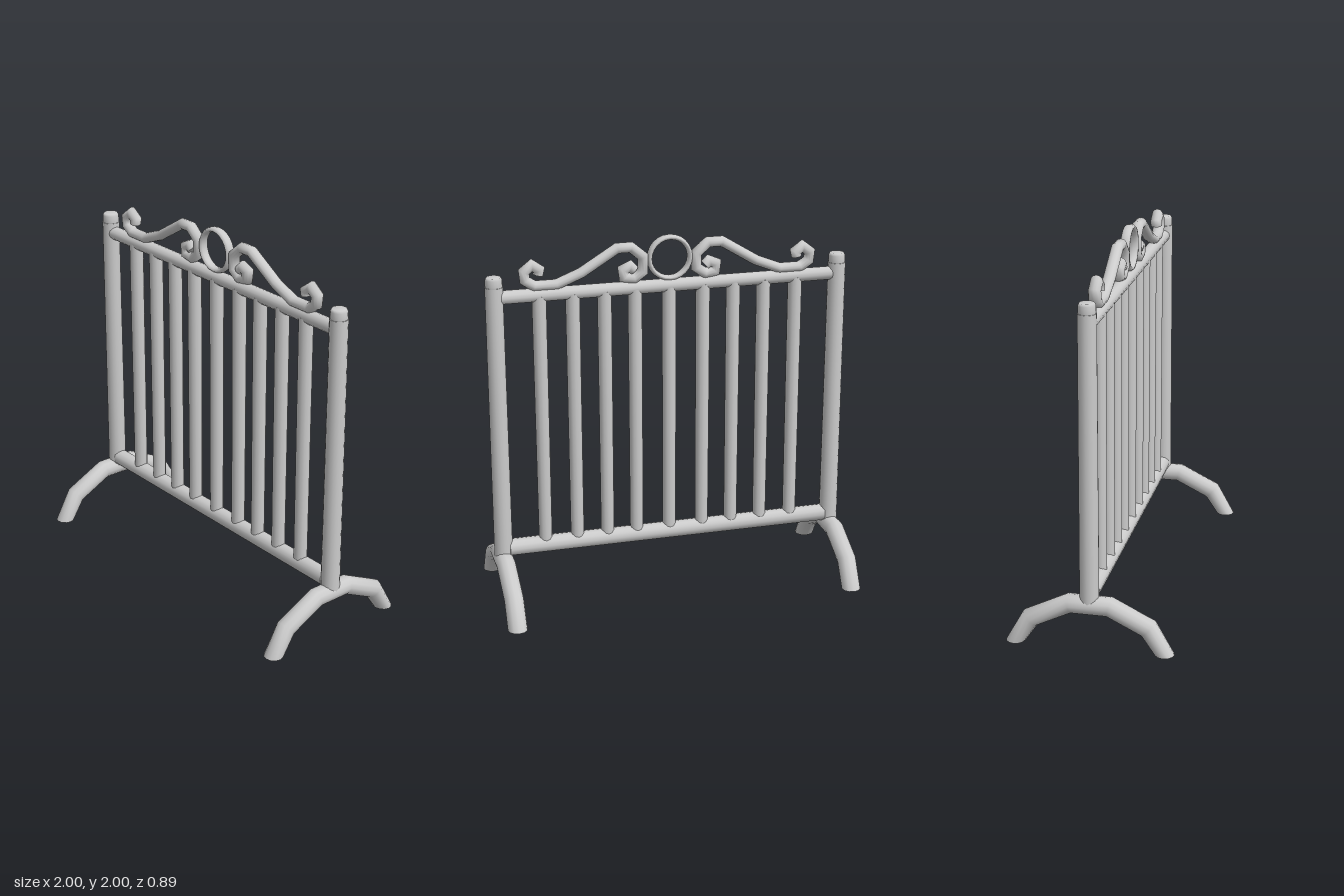
import * as THREE from 'three';

const material = new THREE.MeshStandardMaterial({ color: 0xcccccc });

function part(name, geometry, x = 0, y = 0, z = 0) {
  const mesh = new THREE.Mesh(geometry, material);
  mesh.name = name;
  mesh.position.set(x, y, z);
  return mesh;
}

// Round bar swept along a flat path of [x, y] points with mitred bends.
// levelEnds cuts both ends horizontally, for feet standing on the ground.
function bentBar(points, radius, depth, levelEnds = false, sides = 12) {
  const path = points.map(([x, y]) => new THREE.Vector2(x, y));
  const last = path.length - 1;
  const direction = (i) => path[i + 1].clone().sub(path[i]).normalize();
  const positions = [];
  const index = [];

  const addRing = (i) => {
    const before = direction(Math.max(i - 1, 0));
    const after = direction(Math.min(i, last - 1));
    const t = before.clone().add(after).normalize();
    const n = new THREE.Vector2(-t.y, t.x);
    if (levelEnds && (i === 0 || i === last)) n.set(Math.sign(n.x), 0);
    else n.multiplyScalar(1 / Math.max(t.dot(after), 0.6));
    for (let j = 0; j < sides; j++) {
      const a = (j / sides) * Math.PI * 2;
      const c = Math.cos(a) * radius;
      positions.push(path[i].x + n.x * c, path[i].y + n.y * c, Math.sin(a) * depth);
    }
  };

  for (let i = 0; i <= last; i++) addRing(i);
  for (let i = 0; i < last; i++) {
    for (let j = 0; j < sides; j++) {
      const a = i * sides + j;
      const b = i * sides + ((j + 1) % sides);
      index.push(a, b, a + sides, b, b + sides, a + sides);
    }
  }
  // end caps with their own vertices, so the rims stay sharp
  for (const i of [0, last]) {
    const start = positions.length / 3;
    addRing(i);
    for (let j = 1; j < sides - 1; j++) {
      if (i === 0) index.push(start, start + j + 1, start + j);
      else index.push(start, start + j, start + j + 1);
    }
  }

  const geometry = new THREE.BufferGeometry();
  geometry.setAttribute('position', new THREE.Float32BufferAttribute(positions, 3));
  geometry.setIndex(index);
  geometry.computeVertexNormals();
  return geometry;
}

export function createModel() {
  const group = new THREE.Group();
  const postX = 0.942;

  // posts with a collared cap, each standing on an arched foot
  const capProfile = [[0, -0.01], [0.043, -0.01], [0.046, 0.005], [0.045, 0.04], [0.038, 0.053], [0, 0.053]]
    .map(([r, y]) => new THREE.Vector2(r, y));
  const footPath = [[-0.393, 0], [-0.31, 0.137], [-0.105, 0.238], [0.105, 0.238], [0.31, 0.137], [0.393, 0]];
  for (const [side, s] of [['left', 1], ['right', -1]]) {
    group.add(part(side + 'Post', new THREE.CylinderGeometry(0.048, 0.051, 1.53, 16), s * postX, 1.018, 0));
    group.add(part(side + 'PostCap', new THREE.LatheGeometry(capProfile, 16), s * postX, 1.783, 0));
    const foot = part(side + 'Foot', bentBar(footPath, 0.051, 0.053, true), s * 0.945, 0, 0);
    foot.rotation.y = Math.PI / 2;
    group.add(foot);
  }

  // horizontal rails
  group.add(part('topRail', bentBar([[-0.91, 1.724], [0.91, 1.724]], 0.037, 0.038)));
  group.add(part('bottomRail', bentBar([[-0.91, 0.303], [0.91, 0.303]], 0.047, 0.047)));

  // upright bars
  const barXs = [-0.703, -0.524, -0.353, -0.184, 0.003, 0.19, 0.356, 0.527, 0.706];
  barXs.forEach((x, i) => {
    group.add(part('bar' + (i + 1), new THREE.CylinderGeometry(0.039, 0.037, 1.41, 12), x, 1.015, 0));
  });

  // crest: a ring between two mirrored scrolls
  const ring = new THREE.TorusGeometry(0.111, 0.014, 10, 24);
  ring.scale(1, 1, 1.9);
  group.add(part('crestRing', ring, 0, 1.875, 0));

  const scroll = [
    [0.709, 1.832], [0.703, 1.858], [0.741, 1.885], [0.783, 1.853], [0.778, 1.805], [0.73, 1.773],
    [0.612, 1.773], [0.479, 1.826], [0.286, 1.944], [0.211, 1.944], [0.147, 1.89], [0.147, 1.81],
    [0.195, 1.775], [0.249, 1.785], [0.254, 1.826], [0.217, 1.842], [0.195, 1.82],
  ];
  for (const [side, s] of [['left', 1], ['right', -1]]) {
    const points = scroll.map(([x, y]) => [s * x, y]);
    group.add(part(side + 'Scroll', bentBar(points, 0.028, 0.033)));
  }

  return group;
}
